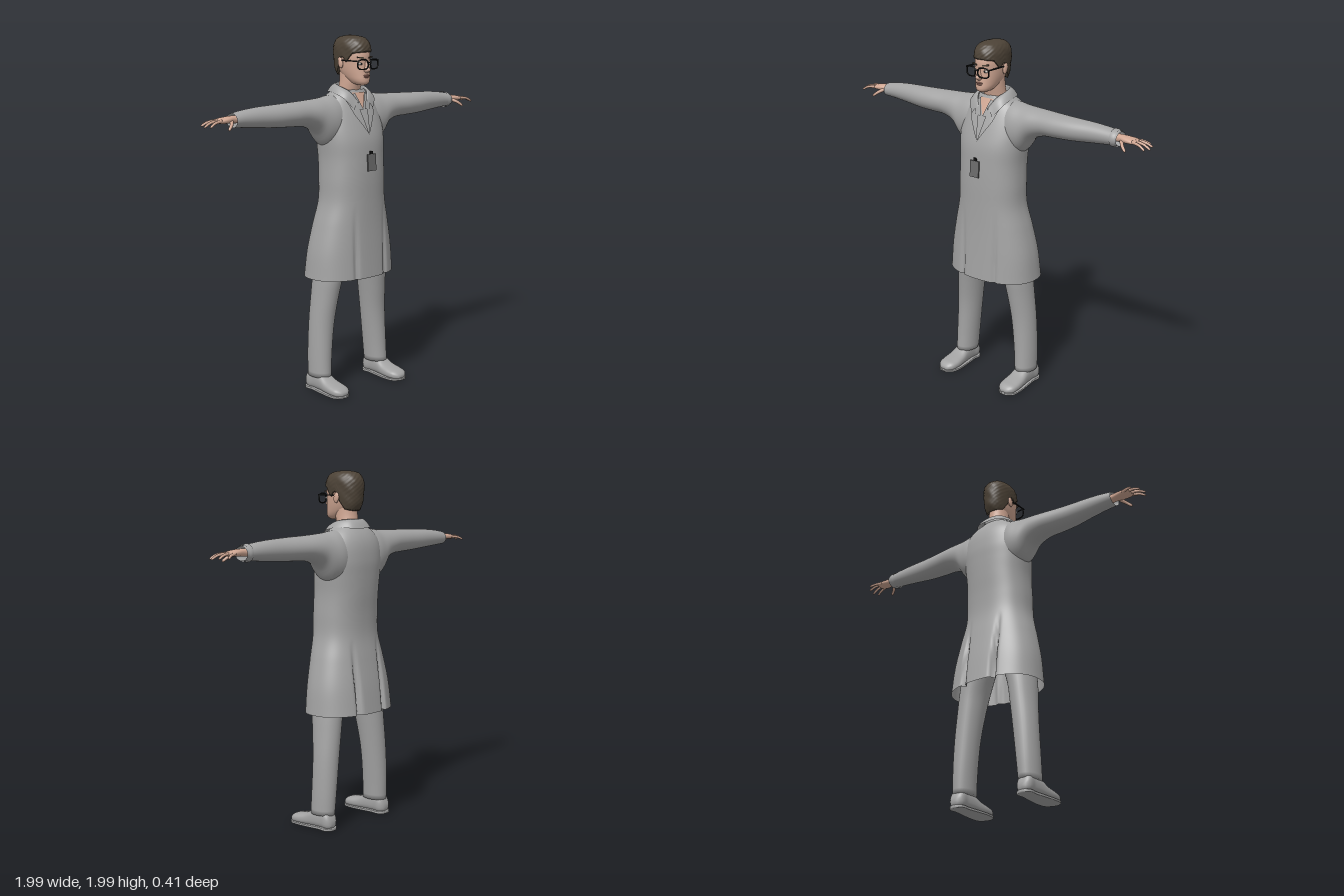
import * as THREE from 'three';

const mat = (name, color) => {
  const m = new THREE.MeshStandardMaterial({ color, side: THREE.DoubleSide });
  m.name = name;
  return m;
};

// Indexed smooth grid; fn(u, v) gives a point, wrap closes it around u
function grid(fn, nu, nv, wrap = false, caps = false) {
  const pos = [], idx = [], w = wrap ? nu : nu + 1;
  for (let j = 0; j <= nv; j++) for (let i = 0; i < w; i++) pos.push(...fn(i / nu, j / nv));
  for (let j = 0; j < nv; j++) for (let i = 0; i < nu; i++) {
    const k = (i + 1) % w, a = j * w + i, b = j * w + k;
    idx.push(a, a + w, b, b, a + w, b + w);
  }
  if (caps) for (const j of [0, nv]) {
    const c = [0, 0, 0];
    for (let i = 0; i < w; i++) for (let d = 0; d < 3; d++) c[d] += pos[(j * w + i) * 3 + d] / w;
    const n = pos.push(...c) / 3 - 1;
    for (let i = 0; i < w; i++) {
      const a = j * w + i, b = j * w + (i + 1) % w;
      idx.push(n, ...(j ? [b, a] : [a, b]));
    }
  }
  const g = new THREE.BufferGeometry();
  g.setAttribute('position', new THREE.Float32BufferAttribute(pos, 3));
  g.setIndex(idx);
  g.computeVertexNormals();
  return g;
}

// Smooth interpolation through rings [t, aMin, aMax, bMin, bMax]
const sampler = rings => {
  const it = new THREE.CubicInterpolant(rings.map(r => r[0]), rings.flatMap(r => r.slice(1)), 4);
  return t => Array.from(it.evaluate(t));
};

const AXIS = { y: (t, a, b) => [a, t, b], x: (t, a, b) => [t, b, a], z: (t, a, b) => [b, a, t] };

function loft(rings, { axis = 'y', n = 2, segs = 32, rows = 32, caps = true, start, tweak } = {}) {
  const at = sampler(rings), t0 = rings[0][0], t1 = rings[rings.length - 1][0];
  const pw = c => Math.sign(c) * Math.abs(c) ** (2 / n);
  return grid((u, v) => {
    const th = u * Math.PI * 2;
    const s = start ? start(Math.sin(th)) : t0;
    const t = s + (t1 - s) * (start ? Math.sin(v * Math.PI / 2) : v);
    const [a0, a1, b0, b1] = at(t);
    const p = AXIS[axis](t, (a0 + a1) / 2 + (a1 - a0) / 2 * pw(Math.cos(th)),
      (b0 + b1) / 2 + (b1 - b0) / 2 * pw(Math.sin(th)));
    return tweak ? tweak(p, th) : p;
  }, segs, rows, true, caps);
}
const sym = rows => rows.map(([y, w, zb, zf]) => [y, -w, w, zb, zf]);

const COAT = sym([
  [0.65, 0.277, -0.2, 0.175], [0.8, 0.263, -0.182, 0.168], [0.95, 0.232, -0.158, 0.163],
  [1.08, 0.2, -0.138, 0.162], [1.2, 0.195, -0.138, 0.163], [1.32, 0.192, -0.147, 0.16],
  [1.42, 0.2, -0.153, 0.152], [1.5, 0.203, -0.155, 0.13], [1.6, 0.182, -0.14, 0.093],
  [1.65, 0.145, -0.115, 0.072], [1.69, 0.09, -0.08, 0.055]]);
const coatAt = sampler(COAT);
const chestZ = (x, y) => {
  const [, w, zb, zf] = coatAt(y);
  return (zb + zf) / 2 + (zf - zb) / 2 * Math.max(0, 1 - Math.abs(x / w) ** 2.3) ** (1 / 2.3);
};

// Cloth panel that follows the chest, from four [x, y] corners
const panel = (c, off) => grid((u, v) => {
  const mix = d => (c[0][d] * (1 - u) + c[1][d] * u) * (1 - v) + (c[3][d] * (1 - u) + c[2][d] * u) * v;
  const x = mix(0), y = mix(1);
  return [x, y, chestZ(x, y) + off];
}, 10, 14);

export function createModel() {
  const root = new THREE.Group();
  root.name = 'standingFigure';
  const cloth = mat('greyCloth', 0xa3a3a3), skin = mat('skin', 0xd0a793), hair = mat('brownHair', 0x4c4236);
  const black = mat('blackFrame', 0x161616), badge = mat('badgeGrey', 0x6c6c6c);
  const white = mat('eyeWhite', 0xd8d4ce), lip = mat('lips', 0xa8776a);
  const add = (name, geo, m, parent = root) => {
    const o = new THREE.Mesh(geo, m);
    o.name = name;
    parent.add(o);
    return o;
  };
  const place = (o, p, s = [1, 1, 1]) => { o.position.set(...p); o.scale.set(...s); return o; };
  const sides = fn => [['left', 1], ['right', -1]].forEach(([name, s]) => {
    const g = new THREE.Group();
    g.name = name + 'Side';
    g.scale.x = s;
    root.add(g);
    fn(g, s);
  });

  // Coat with pleats that deepen towards the hem
  const pleats = [[-0.1, 1, 0.014], [0.12, 1, 0.014], [-0.1, -1, 0.035], [0.1, -1, 0.035]];
  add('coat', loft(COAT, {
    n: 2.3, segs: 144, rows: 60, caps: false, tweak: ([x, y, z], th) => {
      const k = THREE.MathUtils.clamp((1.06 - y) / 0.3, 0, 1);
      for (const [px, side, d] of pleats)
        if (Math.sin(th) * side > 0) z -= side * d * k * Math.exp(-(((x - px) / 0.012) ** 2));
      return [x, y, z];
    }
  }), cloth);

  // Collar folded around the neck
  const half = pts => new THREE.CatmullRomCurve3([...pts, ...pts.slice(0, -1).reverse().map(([x, y, z]) => [-x, y, z])]
    .map(p => new THREE.Vector3(...p)));
  const top = half([[0.032, 1.63, 0.1], [0.064, 1.685, 0.062], [0.082, 1.713, 0], [0.058, 1.722, -0.06], [0, 1.722, -0.08]]);
  const outer = half([[0.07, 1.585, 0.11], [0.112, 1.645, 0.075], [0.12, 1.675, -0.01], [0.08, 1.675, -0.1], [0, 1.672, -0.12]]);
  add('collar', grid((u, v) => {
    const a = top.getPoint(u), b = outer.getPoint(u);
    if (v < 0.5) a.y -= 0.05 * (1 - 2 * v);
    else { a.lerp(b, 2 * v - 1); a.y += 0.008 * Math.sin((2 * v - 1) * Math.PI); }
    return a.toArray();
  }, 48, 10), cloth);
  add('openNeckSkin', panel([[-0.045, 1.675], [0.045, 1.675], [0.004, 1.59], [-0.004, 1.59]], 0.006), skin);

  // Badge with clip
  const card = place(add('badge', new THREE.BoxGeometry(0.06, 0.092, 0.008), badge), [0, 1.298, 0.174]);
  card.rotation.x = -0.06;
  place(add('badgeClip', new THREE.BoxGeometry(0.018, 0.018, 0.008), black), [0, 1.351, 0.17]);

  // Neck and head
  add('neck', loft(sym([[1.58, 0.06, -0.08, 0.05], [1.68, 0.06, -0.07, 0.055],
    [1.74, 0.057, -0.062, 0.07], [1.8, 0.056, -0.06, 0.07]])), skin);
  add('head', loft(sym([[1.717, 0.02, 0.065, 0.118], [1.726, 0.036, 0.035, 0.132], [1.745, 0.05, 0, 0.136],
    [1.77, 0.06, -0.04, 0.134], [1.8, 0.068, -0.068, 0.131], [1.84, 0.074, -0.087, 0.129],
    [1.88, 0.076, -0.09, 0.13], [1.92, 0.073, -0.085, 0.117], [1.95, 0.058, -0.068, 0.09],
    [1.968, 0.03, -0.04, 0.055]]), { n: 2.2, segs: 40 }), skin);
  add('nose', loft(sym([[1.785, 0.01, 0.11, 0.138], [1.797, 0.018, 0.105, 0.156],
    [1.82, 0.01, 0.105, 0.148], [1.852, 0.007, 0.105, 0.134]]), { segs: 16, rows: 12 }), skin);
  place(add('upperLip', new THREE.SphereGeometry(1, 16, 8), lip), [0, 1.77, 0.131], [0.023, 0.005, 0.009]);
  place(add('lowerLip', new THREE.SphereGeometry(1, 16, 8), lip), [0, 1.762, 0.131], [0.019, 0.005, 0.009]);

  // Hair: the hairline drops from the forehead past the ears to the nape
  const line = [[-1, 1.765], [-0.5, 1.775], [-0.2, 1.82], [-0.02, 1.875], [0.12, 1.865], [0.25, 1.84],
    [0.38, 1.86], [0.6, 1.893], [1, 1.9]];
  const hairline = f => {
    const i = Math.max(1, line.findIndex(p => p[0] >= f - 1e-6));
    return THREE.MathUtils.mapLinear(f, line[i - 1][0], line[i][0], line[i - 1][1], line[i][1]);
  };
  add('hair', loft(sym([[1.76, 0.066, -0.07, 0.1], [1.8, 0.074, -0.092, 0.125], [1.85, 0.08, -0.1, 0.134],
    [1.9, 0.083, -0.103, 0.135], [1.935, 0.08, -0.098, 0.129], [1.96, 0.068, -0.082, 0.11],
    [1.977, 0.046, -0.055, 0.08], [1.985, 0.012, -0.01, 0.03]]), {
    n: 2.2, segs: 80, rows: 30, start: hairline, tweak: ([x, y, z], th) => {
      const b = 1 + 0.018 * Math.sin(th * 13 + y * 90) * Math.sin(y * 170 + th * 5);
      return [x * b, y, 0.015 + (z - 0.015) * b];
    }
  }), hair);

  // Glasses bridge
  place(add('glassesBridge', new THREE.BoxGeometry(0.02, 0.006, 0.006), black), [0, 1.842, 0.147]);

  sides((g, s) => {
    // Lapel and shirt collar leaf
    add('lapel', panel([[0.04, 1.655], [0.1, 1.64], [0.072, 1.56], [0, 1.45]], 0.01), cloth, g);
    add('shirtCollar', panel([[0.035, 1.675], [0.062, 1.66], [0.045, 1.585], [0.006, 1.585]], 0.016), cloth, g);

    // Eye, brow, ear and glasses
    place(add('eye', new THREE.SphereGeometry(1, 16, 10), white, g), [0.034, 1.834, 0.119], [0.015, 0.007, 0.007]);
    place(add('iris', new THREE.SphereGeometry(1, 12, 8), black, g), [0.034, 1.834, 0.1235], [0.006, 0.006, 0.004]);
    const brow = place(add('eyebrow', new THREE.BoxGeometry(0.038, 0.007, 0.008), hair, g), [0.036, 1.868, 0.122]);
    brow.rotation.set(0, 0.3, 0.1);
    place(add('ear', new THREE.SphereGeometry(1, 14, 10), skin, g), [0.079, 1.838, 0.008], [0.01, 0.031, 0.018]).rotation.x = -0.2;
    const rim = [];
    for (let i = 0; i < 20; i++) {
      const t = i / 20 * Math.PI * 2, c = Math.cos(t), d = Math.sin(t);
      rim.push(new THREE.Vector3(0.042 + 0.033 * Math.sign(c) * Math.abs(c) ** 0.65,
        1.832 + 0.026 * Math.sign(d) * Math.abs(d) ** 0.65, 0.147 - 0.006 * c));
    }
    add('glassesRim', new THREE.TubeGeometry(new THREE.CatmullRomCurve3(rim, true), 48, 0.004, 6, true), black, g);
    place(add('glassesTemple', new THREE.BoxGeometry(0.005, 0.007, 0.145), black, g), [0.08, 1.851, 0.07]);

    // Sleeve: [x, zBack, zFront, yBottom, yTop]
    add('sleeve', loft([[0.08, -0.12, 0.08, 1.36, 1.668], [0.15, -0.128, 0.088, 1.375, 1.662],
      [0.205, -0.12, 0.085, 1.4, 1.654], [0.255, -0.108, 0.076, 1.468, 1.65], [0.33, -0.098, 0.068, 1.504, 1.646],
      [0.43, -0.085, 0.068, 1.513, 1.643], [0.52, -0.076, 0.062, 1.517, 1.64], [0.65, -0.07, 0.042, 1.527, 1.634],
      [0.75, -0.067, 0.031, 1.535, 1.624], [0.81, -0.064, 0.029, 1.539, 1.614]],
    { axis: 'x', segs: 40, rows: 56, caps: false }), cloth, g);
    if (s > 0) add('cuff', loft([[0.77, -0.07, 0.035, 1.531, 1.626], [0.785, -0.071, 0.036, 1.531, 1.624],
      [0.8, -0.068, 0.033, 1.535, 1.62]], { axis: 'x', rows: 6, caps: false }), cloth, g);

    // Hand with palm, fingers and thumb
    add('palm', loft([[0.76, -0.045, 0.01, 1.56, 1.6], [0.81, -0.043, 0.01, 1.563, 1.602],
      [0.85, -0.05, 0.02, 1.565, 1.6], [0.89, -0.056, 0.021, 1.566, 1.594], [0.915, -0.048, 0.013, 1.57, 1.588]],
    { axis: 'x', n: 2.3, segs: 24, rows: 16 }), skin, g);
    const digits = [
      ['indexFinger', [0.895, 1.582, 0.009], [0.945, 1.576, 0.022], [0.98, 1.557, 0.029]],
      ['middleFinger', [0.9, 1.583, -0.01], [0.955, 1.577, -0.005], [0.996, 1.557, -0.001]],
      ['ringFinger', [0.895, 1.583, -0.03], [0.945, 1.578, -0.038], [0.984, 1.56, -0.044]],
      ['littleFinger', [0.88, 1.58, -0.047], [0.92, 1.576, -0.064], [0.95, 1.563, -0.08]],
      ['thumb', [0.825, 1.577, 0], [0.852, 1.56, 0.034], [0.88, 1.537, 0.05]]];
    for (const [name, ...pts] of digits) {
      const r = name === 'thumb' ? 0.011 : 0.009, c = new THREE.CatmullRomCurve3(pts.map(p => new THREE.Vector3(...p)));
      const f = c.computeFrenetFrames(12);
      add(name, grid((u, v) => {
        const i = Math.round(v * 12), a = u * Math.PI * 2, q = r * (1 - 0.35 * v) * (i === 12 ? 0.5 : 1);
        return c.getPointAt(v).addScaledVector(f.normals[i], q * Math.cos(a))
          .addScaledVector(f.binormals[i], -q * Math.sin(a)).toArray();
      }, 10, 12, true, true), skin, g);
    }

    // Trouser leg and shoe
    add('trouserLeg', loft([[0.085, 0.163, 0.277, -0.093, 0.06], [0.2, 0.153, 0.276, -0.098, 0.055],
      [0.4, 0.13, 0.267, -0.1, 0.056], [0.55, 0.108, 0.254, -0.1, 0.074], [0.65, 0.09, 0.245, -0.1, 0.09],
      [0.8, 0.04, 0.225, -0.1, 0.1], [0.95, -0.005, 0.19, -0.1, 0.11]]), cloth, g);
    add('shoe', loft([[-0.1, 0.02, 0.06, 0.2, 0.25], [-0.085, 0.006, 0.095, 0.183, 0.265], [-0.03, 0.004, 0.112, 0.18, 0.267],
      [0.03, 0.004, 0.105, 0.175, 0.272], [0.08, 0.004, 0.078, 0.169, 0.278], [0.14, 0.004, 0.062, 0.167, 0.281],
      [0.18, 0.005, 0.052, 0.178, 0.272], [0.2, 0.012, 0.036, 0.2, 0.25]], { axis: 'z', n: 2.5 }), cloth, g);
    add('sole', loft([[-0.102, 0, 0.018, 0.2, 0.25], [-0.085, 0, 0.018, 0.18, 0.268], [-0.03, 0, 0.018, 0.178, 0.268],
      [0.05, 0, 0.016, 0.168, 0.278], [0.13, 0, 0.015, 0.163, 0.284], [0.18, 0, 0.016, 0.175, 0.275],
      [0.205, 0.003, 0.016, 0.202, 0.248]], { axis: 'z', n: 6 }), cloth, g);
  });
  return root;
}
